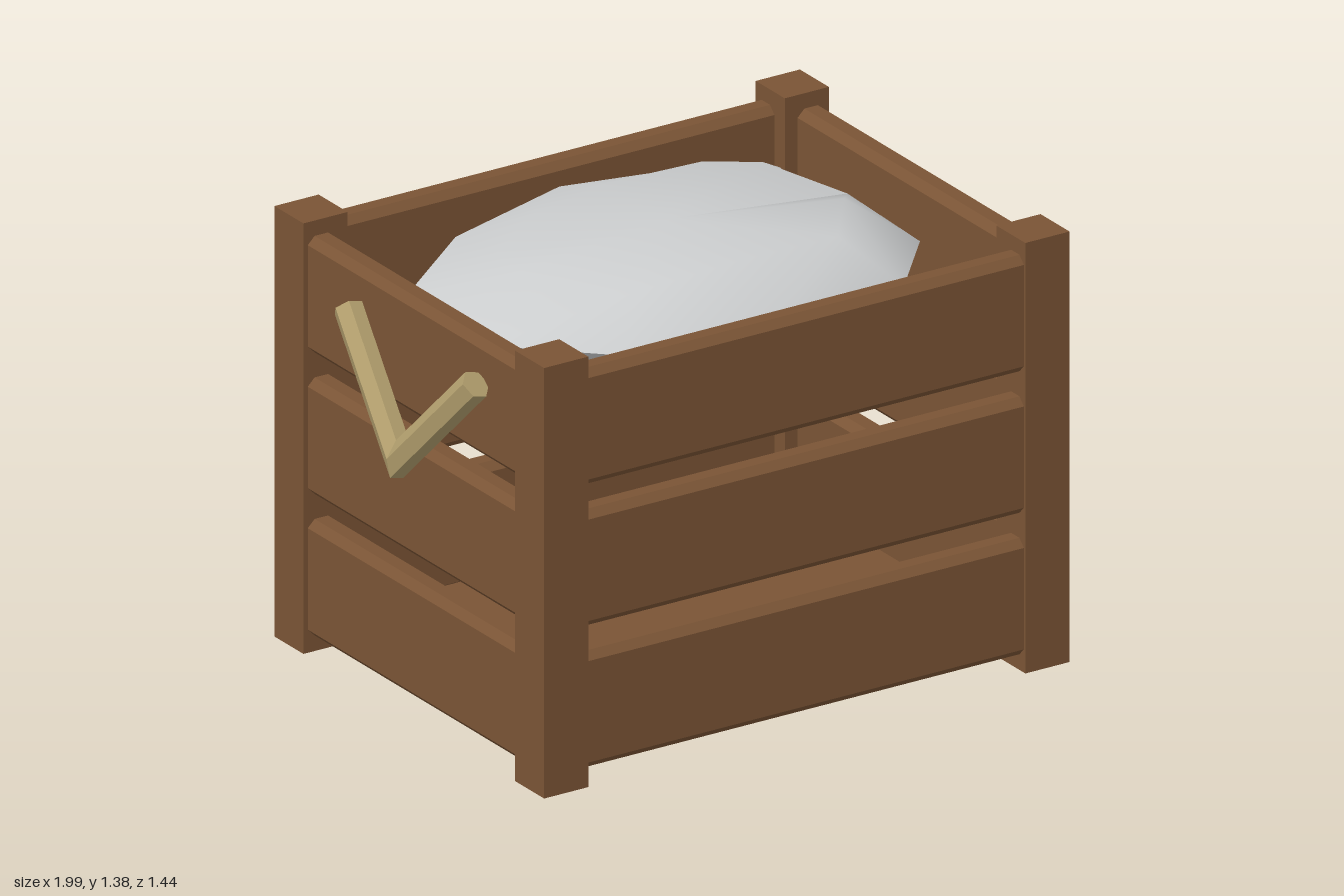
import * as THREE from 'three';
import { mergeVertices, toCreasedNormals } from 'three/addons/utils/BufferGeometryUtils.js';

const mat = (name, color, extra = {}) => {
  const m = new THREE.MeshStandardMaterial({ color, ...extra });
  m.name = name;
  return m;
};

// Skin a list of equal-length point rings (each ring right-handed about the path)
function loft(rings) {
  const n = rings[0].length, pos = [];
  for (let r = 0; r < rings.length - 1; r++) {
    for (let i = 0; i < n; i++) {
      const j = (i + 1) % n, A = rings[r], B = rings[r + 1];
      for (const p of [A[i], A[j], B[j], A[i], B[j], B[i]]) pos.push(p.x, p.y, p.z);
    }
  }
  const g = new THREE.BufferGeometry();
  g.setAttribute('position', new THREE.Float32BufferAttribute(pos, 3));
  g.computeVertexNormals();
  return g;
}

// Plank with chamfered long edges, lying along z and centred
function plankGeometry(length, thick, height) {
  const t = thick / 2, h = height / 2, c = 0.024;
  const s = new THREE.Shape([
    [-t + c, -h], [t - c, -h], [t, -h + c], [t, h - c],
    [t - c, h], [-t + c, h], [-t, h - c], [-t, -h + c],
  ].map(([x, y]) => new THREE.Vector2(x, y)));
  return new THREE.ExtrudeGeometry(s, { depth: length, bevelEnabled: false }).translate(0, 0, -length / 2);
}

export function createModel() {
  const wood = mat('brown wood', 0x7a5435);
  const cloth = mat('pale grey', 0xcbcdce);
  const tan = mat('tan wood', 0xb09d6c);
  const model = new THREE.Group();
  model.name = 'crate';
  const add = (name, geo, material, x = 0, y = 0, z = 0) => {
    const m = new THREE.Mesh(geo, material);
    m.name = name;
    m.position.set(x, y, z);
    model.add(m);
  };
  const cx = 0.0775;

  // Corner posts
  const post = new THREE.BoxGeometry(0.155, 1.375, 0.155);
  for (const sx of [-1, 1]) for (const sz of [-1, 1])
    add('cornerPost', post, wood, cx + sx * 0.845, 0.6875, sz * 0.6425);

  // Three rows of slats on every side
  const longSlat = plankGeometry(1.56, 0.092, 0.372).rotateY(Math.PI / 2);
  const shortSlat = plankGeometry(1.15, 0.095, 0.372);
  for (const y of [0.236, 0.688, 1.14]) for (const s of [-1, 1]) {
    add('longSlat', longSlat, wood, cx, y, s * 0.666);
    add('sideSlat', shortSlat, wood, cx + s * 0.86, y, 0);
  }

  // Floor board
  add('floor', new THREE.BoxGeometry(1.69, 0.05, 1.21), wood, cx, 0.055, 0);

  // Soft heap in the top: rim points x, y, z, then scale and height of the upper ring
  const rim = [
    [-0.72, 1.25, -0.2, 0.66, 1.335], [-0.38, 1.26, -0.46, 0.66, 1.345], [0.08, 1.26, -0.605, 0.6, 1.357],
    [0.55, 1.27, -0.475, 0.7, 1.362], [0.66, 1.29, -0.31, 0.85, 1.345], [0.78, 1.16, 0, 0.88, 1.31],
    [0.83, 1.19, 0.18, 0.7, 1.362], [0.57, 1.22, 0.49, 0.72, 1.362], [0.08, 1.22, 0.535, 0.65, 1.364],
    [-0.42, 1.235, 0.5, 0.68, 1.345], [-0.7, 1.225, 0.2, 0.66, 1.335], [-0.72, 1.24, 0, 0.66, 1.335],
  ];
  const hx = 0.06;
  const ring = (f) => rim.map((p) => {
    const [k, y] = f(p);
    return new THREE.Vector3(hx + (p[0] - hx) * k, y, p[2] * k);
  });
  const heap = mergeVertices(loft([
    ring(() => [0, 1.378]),
    ring((p) => [p[3], p[4]]),
    ring((p) => [1, p[1]]),
    ring((p) => [0.82, p[1] - 0.15]),
    ring(() => [0.4, 0.99]),
    ring(() => [0, 0.975]),
  ]).deleteAttribute('normal'));
  add('heap', toCreasedNormals(heap, 0.95), cloth);

  // Bent six-sided handle hanging on the right side
  const path = [[-0.868, 1.21, -0.29], [-0.945, 0.885, 0.1], [-0.868, 1.21, 0.39]]
    .map((p) => new THREE.Vector3(...p));
  const t1 = path[1].clone().sub(path[0]).normalize();
  const t2 = path[2].clone().sub(path[1]).normalize();
  const n = t1.clone().cross(t2).normalize();
  const m1 = t1.clone().cross(n), m2 = t2.clone().cross(n);
  const miter = m1.clone().add(m2).divideScalar(1 + m1.dot(m2));
  const hex = (c, m, r) => Array.from({ length: 6 }, (_, i) => {
    const a = (i * Math.PI) / 3;
    return c.clone().addScaledVector(n, r * Math.cos(a)).addScaledVector(m, r * Math.sin(a));
  });
  const r = 0.047;
  add('handle', loft([
    hex(path[0], m1, 0), hex(path[0], m1, r), hex(path[1], miter, r),
    hex(path[2], m2, r), hex(path[2], m2, 0),
  ]), tan);

  return model;
}
